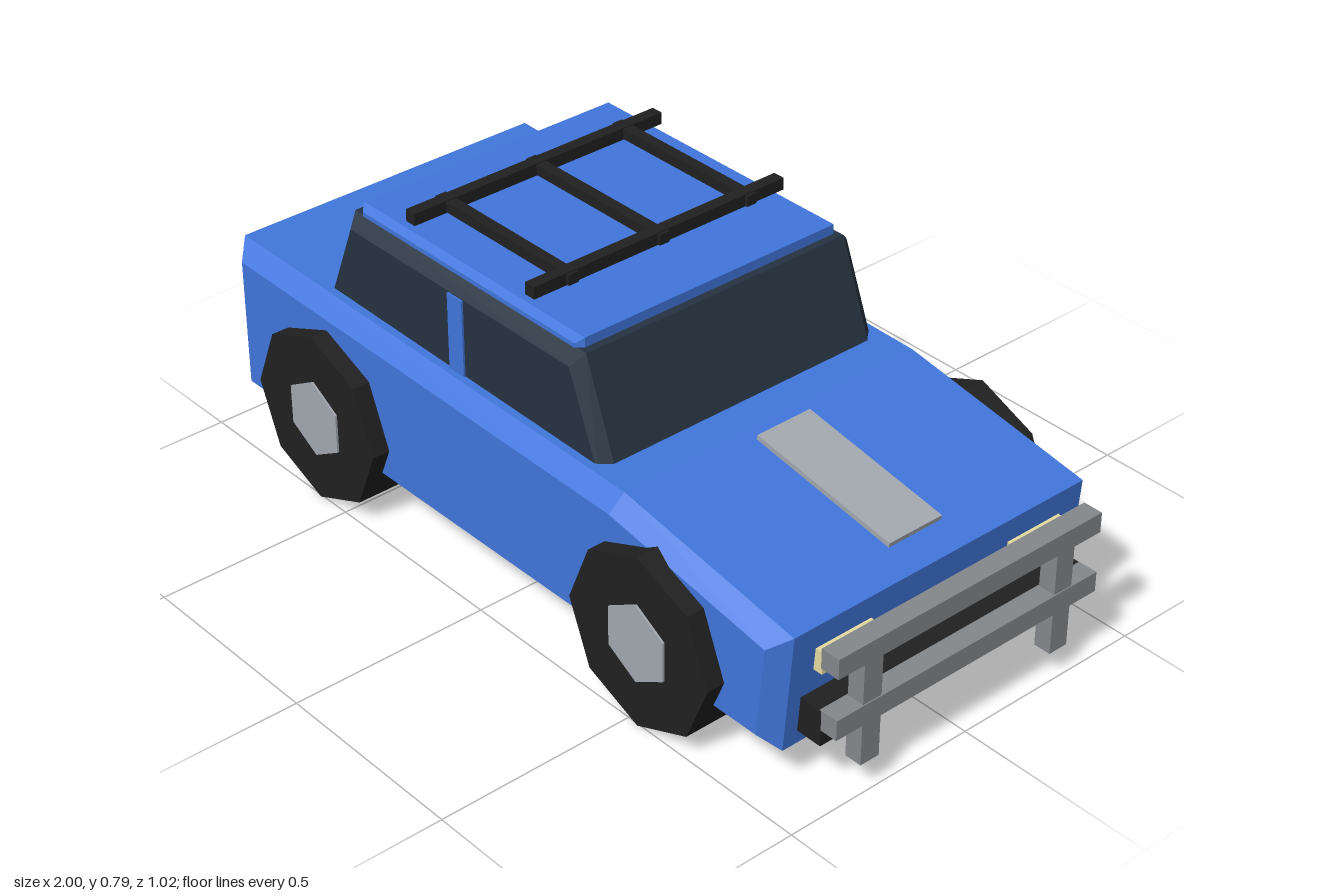
import * as THREE from 'three';

const paint = (color) => new THREE.MeshStandardMaterial({ color, flatShading: true });
const BLUE = paint(0x4176dc), GLASS = paint(0x263341), BLACK = paint(0x202020);
const STEEL = paint(0x85888b), SILVER = paint(0xa3a9b0), CREAM = paint(0xe6dca0), RED = paint(0xe02a2a);

export function createModel() {
  const car = new THREE.Group();
  car.name = 'car';

  function add(name, geometry, material, x = 0, y = 0, z = 0) {
    const mesh = new THREE.Mesh(geometry, material);
    mesh.name = name;
    mesh.position.set(x, y, z);
    car.add(mesh);
    return mesh;
  }

  // Box given by its minimum and maximum along each axis
  function box(name, material, [x0, x1], [y0, y1], [z0, z1]) {
    return add(name, new THREE.BoxGeometry(x1 - x0, y1 - y0, z1 - z0), material,
      (x0 + x1) / 2, (y0 + y1) / 2, (z0 + z1) / 2);
  }

  // Side profile (the inset side face) extruded across the car with one chamfer
  function chamfered(name, material, points, halfWidth, bevel) {
    const shape = new THREE.Shape(points.map(([x, y]) => new THREE.Vector2(x, y)));
    const depth = 2 * (halfWidth - bevel);
    const geometry = new THREE.ExtrudeGeometry(shape, {
      depth, bevelEnabled: true, bevelSegments: 1, bevelSize: bevel, bevelThickness: bevel,
    });
    geometry.translate(0, 0, -depth / 2);
    return add(name, geometry, material);
  }

  // Body, cabin and roof
  chamfered('body', BLUE,
    [[-0.915, 0.145], [0.848, 0.145], [0.867, 0.371], [0.393, 0.449], [-0.915, 0.471]], 0.46, 0.04);
  chamfered('cabinGlass', GLASS,
    [[-0.652, 0.46], [0.291, 0.46], [0.199, 0.692], [-0.556, 0.692]], 0.4, 0.03);
  chamfered('roof', BLUE,
    [[-0.545, 0.72], [0.185, 0.72], [0.185, 0.731], [-0.545, 0.731]], 0.372, 0.015);
  box('doorPillars', BLUE, [-0.205, -0.155], [0.48, 0.69], [-0.405, 0.405]);

  // Bonnet panel, sloped with the bonnet
  const panel = add('bonnetPanel', new THREE.BoxGeometry(0.405, 0.02, 0.153), SILVER, 0.627, 0.453, 0);
  panel.rotation.z = -0.165;

  // Roof rack
  for (const x of [-0.388, 0.022])
    box('rackCrossbar', BLACK, [x - 0.015, x + 0.015], [0.764, 0.794], [-0.358, 0.358]);
  for (const z of [-0.256, 0, 0.256])
    box('rackRail', BLACK, [-0.41, 0.045], [0.766, 0.792], [z - 0.014, z + 0.014]);

  // Bumpers and front guard
  box('frontBumper', BLACK, [0.87, 0.955], [0.14, 0.23], [-0.383, 0.383]);
  box('rearBumper', BLACK, [-1, -0.94], [0.14, 0.23], [-0.383, 0.383]);
  for (const [y0, y1] of [[0.335, 0.385], [0.181, 0.231]])
    box('guardBar', STEEL, [0.95, 1], [y0, y1], [-0.383, 0.383]);

  for (const side of [-1, 1]) {
    const across = (a, b) => (side > 0 ? [a, b] : [-b, -a]);
    box('guardPost', STEEL, [0.953, 0.997], [0.075, 0.38], across(0.255, 0.307));
    box('headlight', CREAM, [0.875, 0.925], [0.29, 0.345], across(0.2, 0.355));
    box('taillight', RED, [-0.977, -0.94], [0.377, 0.426], across(0.2, 0.36));

    // Wheels: eight-sided tyres with six-sided hubs
    for (const x of [-0.588, 0.533]) {
      const tyre = add('tyre', new THREE.CylinderGeometry(0.218, 0.218, 0.15, 8), BLACK, x, 0.22, side * 0.43);
      const hub = add('hub', new THREE.CylinderGeometry(0.099, 0.099, 0.16, 6), SILVER, x, 0.22, side * 0.43);
      tyre.rotation.x = hub.rotation.x = Math.PI / 2;
    }
  }
  return car;
}
